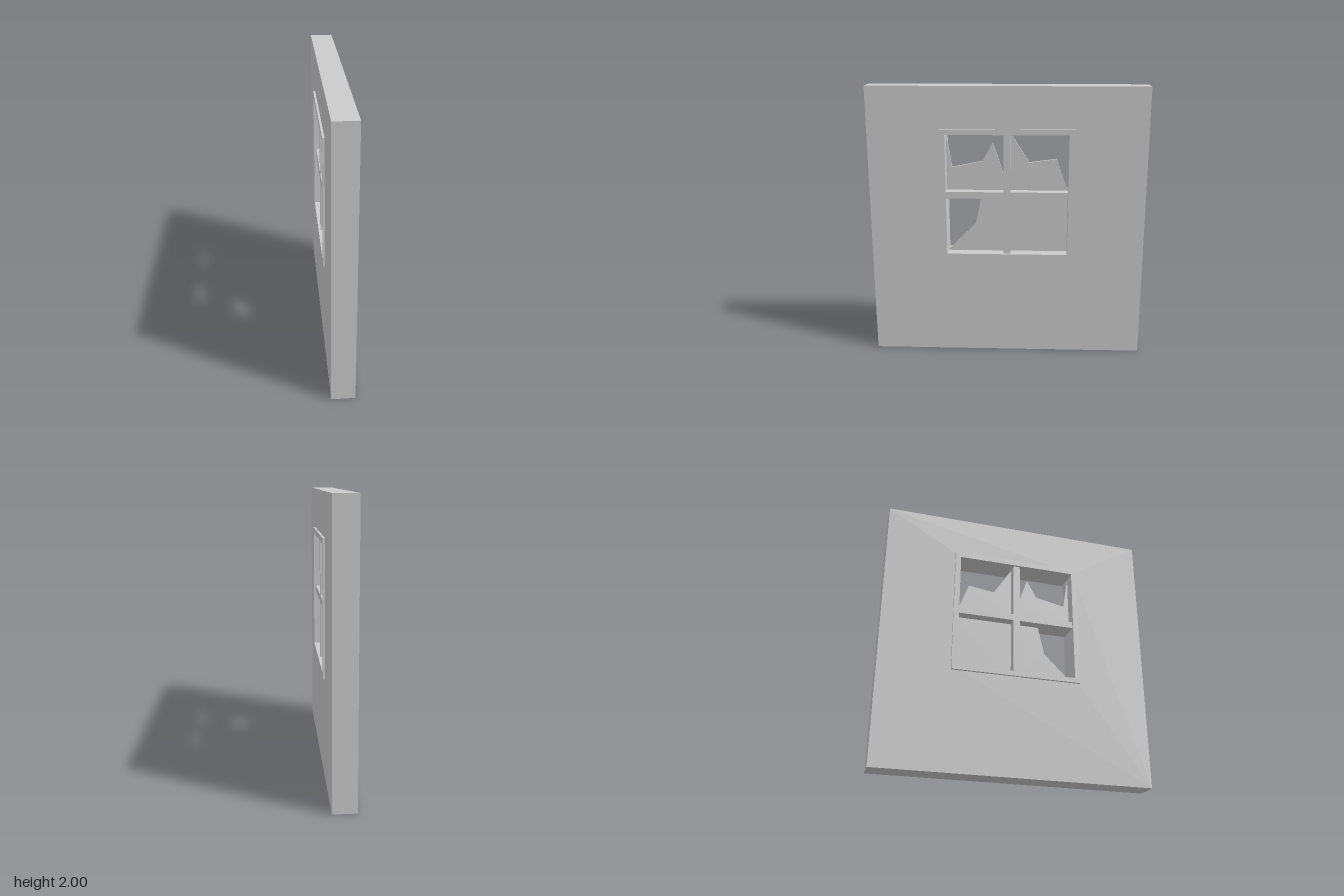
import * as THREE from 'three';

const material = new THREE.MeshStandardMaterial({ color: 0xcccccc, flatShading: true });

// Closed outline from [u, y] points, where u runs towards -z
const points = (list) => list.map(([u, y]) => new THREE.Vector2(u, y));
const rect = (u0, y0, u1, y1) => [[u0, y0], [u1, y0], [u1, y1], [u0, y1]];

// Slab centred on x = 0, extruded along x
function slab(name, outline, thickness, hole) {
  const shape = new THREE.Shape(points(outline));
  if (hole) shape.holes.push(new THREE.Path(points(hole)));
  const geometry = new THREE.ExtrudeGeometry(shape, { depth: thickness, bevelEnabled: false });
  geometry.translate(0, 0, -thickness / 2).rotateY(Math.PI / 2);
  const mesh = new THREE.Mesh(geometry, material);
  mesh.name = name;
  return mesh;
}

export function createModel() {
  const model = new THREE.Group();
  model.name = 'wallWithBrokenWindow';

  // Opening limits, and edges of the glazing bars
  const w = 0.442, bottom = 0.775, top = 1.66;
  const b = 0.025, barLow = 1.193, barHigh = 1.242;

  // Wall panel; the frame hides the edge of its opening
  model.add(slab('wall', rect(-1, 0, 1, 2), 0.166, rect(-0.46, 0.757, 0.46, 1.68)));

  // Frame standing slightly proud on both faces
  model.add(slab('windowFrame', rect(-0.483, 0.738, 0.483, 1.7), 0.197, rect(-w, bottom, w, top)));

  // Cross of glazing bars in one piece
  model.add(slab('glazingBars', [
    [-b, bottom], [b, bottom], [b, barLow], [w, barLow], [w, barHigh], [b, barHigh],
    [b, top], [-b, top], [-b, barHigh], [-w, barHigh], [-w, barLow], [-b, barLow],
  ], 0.164));

  // Glass panes, three of them broken
  const glass = new THREE.Group();
  glass.name = 'glass';
  const panes = {
    upperLeftPane: [[-w, barHigh], [-b, barHigh], [-b, 1.355], [-0.105, 1.592], [-0.18, 1.455],
      [-0.402, 1.41], [-w, top]],
    upperRightPane: [[b, barHigh], [w, barHigh], [0.356, 1.474], [0.16, 1.447], [b, top]],
    lowerLeftPane: [[-w, bottom], [-b, bottom], [-b, barLow], [-0.19, barLow], [-0.235, 0.983]],
    lowerRightPane: rect(b, bottom, w, barLow),
  };
  for (const [name, outline] of Object.entries(panes)) glass.add(slab(name, outline, 0.02));
  model.add(glass);

  return model;
}
